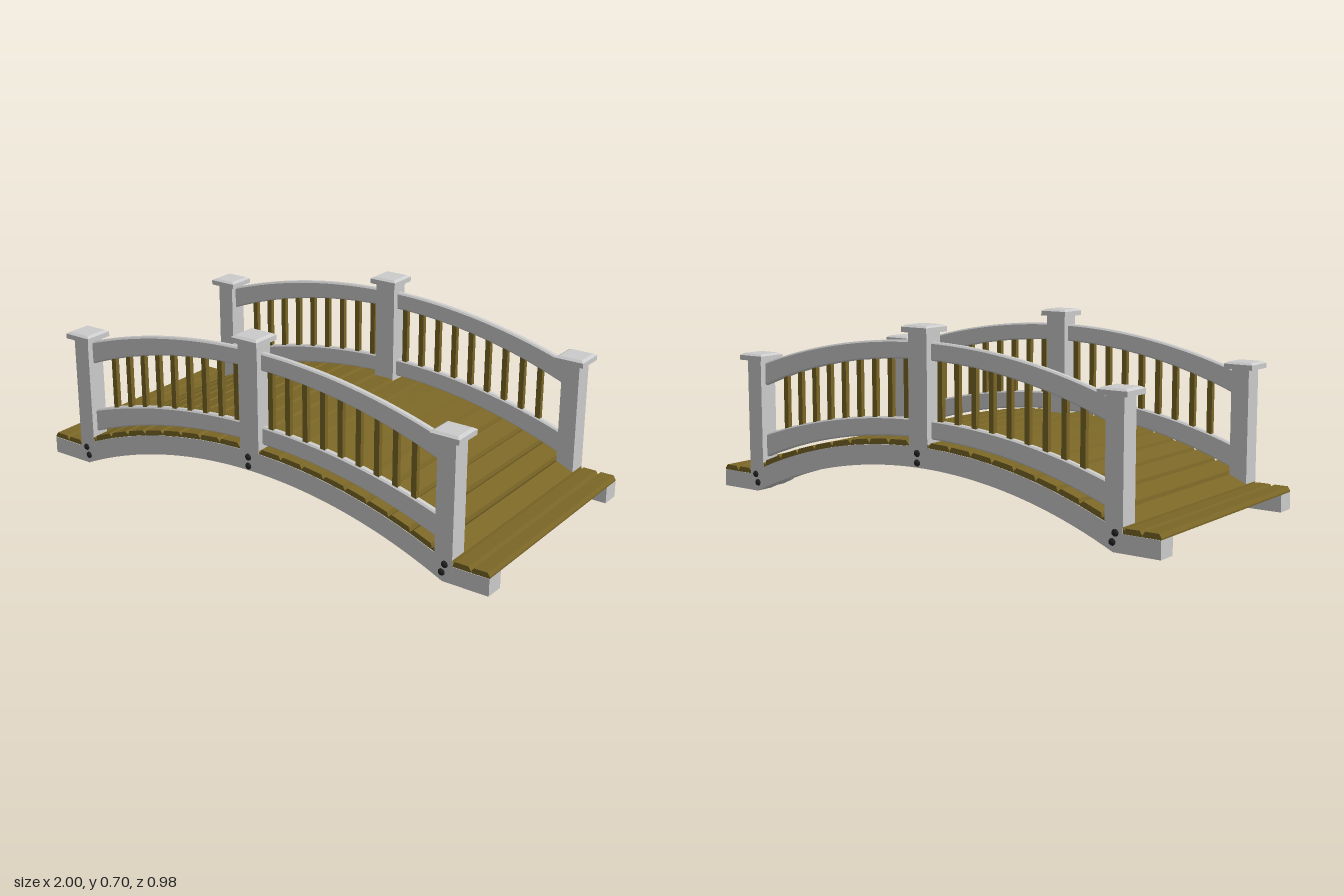
import * as THREE from 'three';
import { toCreasedNormals } from 'three/addons/utils/BufferGeometryUtils.js';

const grey = new THREE.MeshStandardMaterial({ color: 0xcccccc });
const wood = new THREE.MeshStandardMaterial({ color: 0x7a6626 });
const iron = new THREE.MeshStandardMaterial({ color: 0x222222 });

const SIDE_Z = 0.4325;       // centre line of posts, rails and stringers
const ARCH_Y = -1.725;       // centre of the arch circle
const R_LOW = 1.91, R_TOP = 1.985;

function add(parent, name, geometry, material, x = 0, y = 0, z = 0) {
  const mesh = new THREE.Mesh(geometry, material);
  mesh.name = name;
  mesh.position.set(x, y, z);
  parent.add(mesh);
  return mesh;
}

// Points on a circular arc from -half to +half, with its crown at the given height
function arc(half, crown, drop, steps = 40) {
  const r = (half * half + drop * drop) / (2 * drop);
  const a = Math.asin(half / r);
  return Array.from({ length: steps + 1 }, (_, i) => {
    const t = -a + (2 * a * i) / steps;
    return new THREE.Vector2(r * Math.sin(t), crown - r + r * Math.cos(t));
  });
}

// Extrude an outline and centre it in depth
function slab(points, depth, bevel = 0) {
  const geo = new THREE.ExtrudeGeometry(new THREE.Shape(points), {
    depth: depth - 2 * bevel, bevelEnabled: bevel > 0, bevelSegments: 1,
    bevelSize: bevel, bevelThickness: bevel, bevelOffset: -bevel,
  });
  geo.translate(0, 0, -depth / 2 + bevel);
  return toCreasedNormals(geo, 0.3);
}

// Arched beam with flat feet
function stringerGeometry() {
  const v = (x, y) => new THREE.Vector2(x, y);
  const topHalf = Math.sqrt(R_TOP ** 2 - (0.065 - ARCH_Y) ** 2);
  const under = arc(0.82, R_LOW + ARCH_Y, 0.185);
  const over = arc(topHalf, R_TOP + ARCH_Y, R_TOP + ARCH_Y - 0.065).reverse();
  return slab([v(-1, 0), ...under, v(1, 0), v(1, 0.065), ...over, v(-1, 0.065)], 0.075);
}

// Curved rail, deeper towards its ends
function railGeometry(bottom, top) {
  return slab([...arc(0.8, bottom, 0.158), ...arc(0.8, top, 0.135).reverse()], 0.027, 0.006);
}

// Plank with sloping long edges
function plankGeometry(width) {
  const w = width / 2;
  const outline = [[-w, 0], [w, 0], [w, 0.006], [w - 0.009, 0.02], [-w + 0.009, 0.02], [-w, 0.006]];
  return slab(outline.map(p => new THREE.Vector2(...p)), 0.936);
}

// Post cap with a chamfered top
function capGeometry() {
  const w = 0.115 / 2;
  const geo = new THREE.ExtrudeGeometry(
    new THREE.Shape([[-w, -w], [w, -w], [w, w], [-w, w]].map(p => new THREE.Vector2(...p))),
    { depth: 0.019, bevelEnabled: false });
  geo.rotateX(-Math.PI / 2);
  const top = new THREE.CylinderGeometry((w - 0.012) * Math.SQRT2, w * Math.SQRT2, 0.007, 4);
  top.rotateY(Math.PI / 4);
  top.translate(0, 0.0225, 0);
  return [geo, top.toNonIndexed()];
}

function addPost(parent, x, bottom, capY, width) {
  const post = new THREE.Group();
  post.name = x === 0 ? 'middlePost' : 'endPost';
  post.position.x = x;
  parent.add(post);
  add(post, 'postShaft', new THREE.BoxGeometry(width, capY - bottom, 0.0752), grey, 0, (capY + bottom) / 2);
  const [slabPart, crown] = capGeometry();
  add(post, 'postCap', slabPart, grey, 0, capY);
  add(post, 'postCapTop', toCreasedNormals(crown, 0.1), grey, 0, capY);
}

function addBolt(parent, x, y) {
  const bolt = add(parent, 'bolt', new THREE.SphereGeometry(0.013, 12, 8), iron, x, y, 0.0375);
  bolt.scale.z = 0.7;
}

function createSide() {
  const side = new THREE.Group();
  side.name = 'bridgeSide';
  add(side, 'stringer', stringerGeometry(), grey);
  add(side, 'upperRail', railGeometry(0.57, 0.637), grey);
  add(side, 'lowerRail', railGeometry(0.288, 0.357), grey);

  // Balusters between the rails
  for (const s of [-1, 1]) {
    for (let i = 0; i < 9; i++) {
      const x = 0.078 + i * 0.0755;
      const drop = 0.228 * x * x;
      add(side, 'baluster', new THREE.BoxGeometry(0.021, 0.26, 0.018), wood, s * x, 0.459 - drop);
    }
  }

  // Posts, bolts and the short support blocks on the inner face
  addPost(side, 0, 0.25, 0.67, 0.085);
  addBolt(side, -0.005, 0.237);
  addBolt(side, -0.005, 0.202);
  add(side, 'supportBlock', new THREE.BoxGeometry(0.085, 0.075, 0.09), grey, 0, 0.223, -0.0785);
  for (const s of [-1, 1]) {
    addPost(side, s * 0.822, 0.04, 0.515, 0.07);
    addBolt(side, s * 0.828, 0.066);
    addBolt(side, s * 0.817, 0.034);
    const block = add(side, 'supportBlock', new THREE.BoxGeometry(0.07, 0.06, 0.09), grey, s * 0.82, 0.042, -0.0785);
    block.rotation.z = -s * 0.43;
  }
  return side;
}

export function createModel() {
  const model = new THREE.Group();
  model.name = 'archedFootbridge';

  const front = createSide();
  front.position.z = SIDE_Z;
  const back = createSide();
  back.position.z = -SIDE_Z;
  back.rotation.y = Math.PI;
  model.add(front, back);

  // Deck planks following the arch
  const deck = new THREE.Group();
  deck.name = 'deck';
  model.add(deck);
  const count = 19, span = 2 * 0.4473, step = span / count;
  const plank = plankGeometry(step * R_TOP - 0.001);
  for (let i = 0; i < count; i++) {
    const a = (i - (count - 1) / 2) * step;
    const mesh = add(deck, 'archPlank', plank, wood, R_TOP * Math.sin(a), ARCH_Y + R_TOP * Math.cos(a));
    mesh.rotation.z = -a;
  }

  // Level planks at both ends
  const endPlank = plankGeometry(0.07);
  for (const s of [-1, 1]) {
    for (const x of [0.893, 0.965]) add(deck, 'endPlank', endPlank, wood, s * x, 0.065);
  }
  return model;
}
